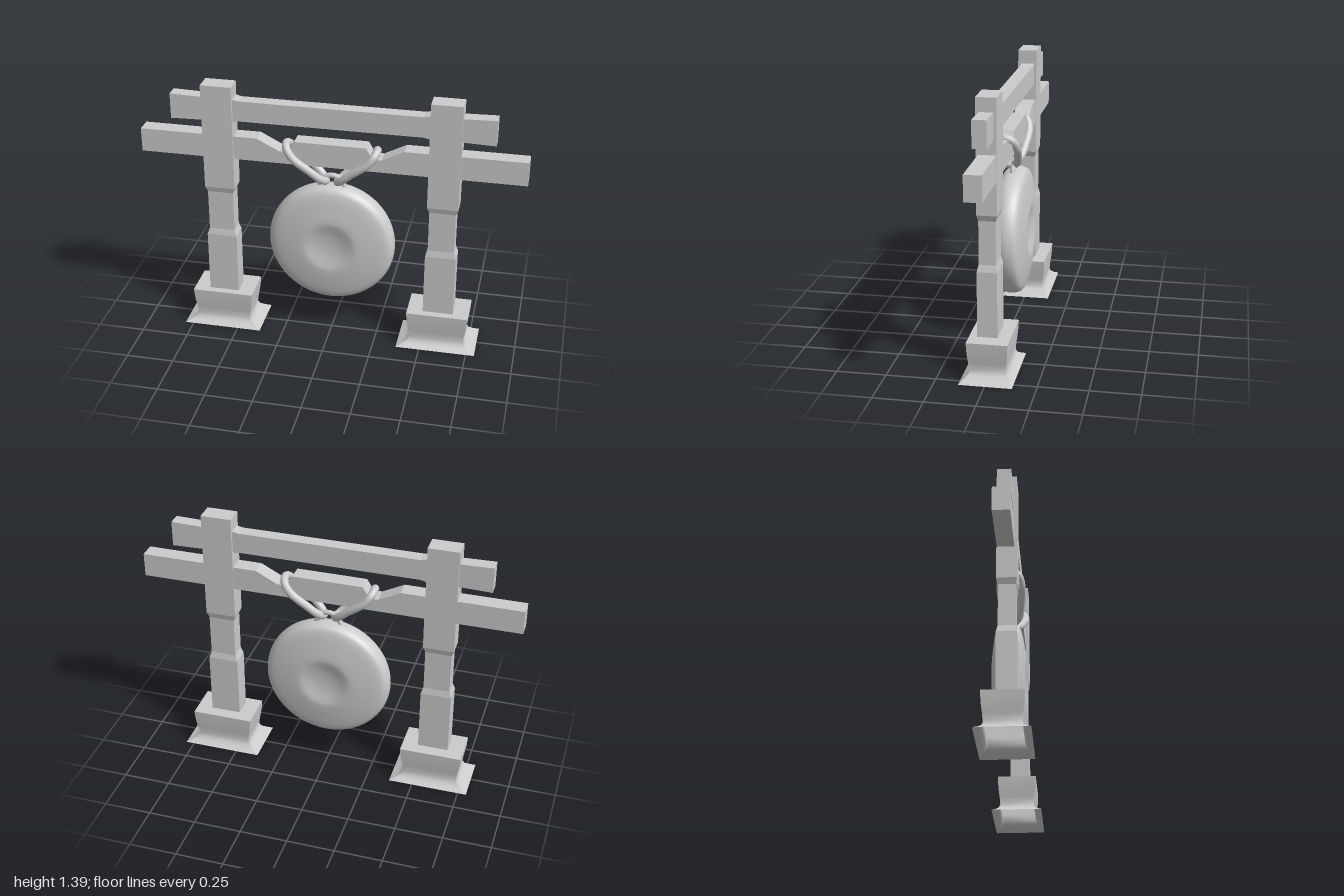
import * as THREE from 'three';
import { toCreasedNormals } from 'three/addons/utils/BufferGeometryUtils.js';

const material = new THREE.MeshStandardMaterial({ color: 0xcccccc });
const thinMaterial = new THREE.MeshStandardMaterial({ color: 0xcccccc, side: THREE.DoubleSide });

function addMesh(parent, name, geometry, mat = material) {
  const mesh = new THREE.Mesh(geometry, mat);
  mesh.name = name;
  parent.add(mesh);
  return mesh;
}

// Rectangular bar shaped by rows of [y, half width, half depth], bottom to top
function taperedBar(rows, crease = 0.1, openBottom = false) {
  const n = rows.length - 1;
  const g = new THREE.BoxGeometry(2, 1, 2, 1, n, 1);
  const p = g.attributes.position;
  for (let i = 0; i < p.count; i++) {
    const [y, hx, hz] = rows[Math.round((p.getY(i) + 0.5) * n)];
    p.setXYZ(i, p.getX(i) * hx, y, p.getZ(i) * hz);
  }
  if (openBottom) {
    const index = Array.from(g.index.array);
    index.splice(g.groups[3].start, g.groups[3].count);
    g.setIndex(index);
  }
  g.clearGroups();
  return toCreasedNormals(g, crease);
}

export function createModel() {
  const model = new THREE.Group();
  model.name = 'hangingGong';

  // Posts with a slimmer waist, standing on hollow flared feet
  const postShape = taperedBar([
    [0.2, 0.08, 0.05], [0.535, 0.08, 0.05], [0.57, 0.068, 0.042],
    [0.79, 0.068, 0.042], [0.82, 0.08, 0.05], [1.39, 0.08, 0.05],
  ]);
  const footShape = taperedBar([
    [0, 0.21, 0.132], [0.015, 0.178, 0.112], [0.03, 0.155, 0.096], [0.05, 0.144, 0.089],
    [0.09, 0.149, 0.093], [0.14, 0.158, 0.099], [0.2, 0.163, 0.102],
  ], 0.75, true);
  for (const [side, s] of [['left', 1], ['right', -1]]) {
    addMesh(model, side + 'Post', postShape).position.set(s * 0.585, 0, 0.01);
    addMesh(model, side + 'Foot', footShape, thinMaterial).position.set(s * 0.585, 0, -0.002);
  }

  // Upper beam, slightly slimmer between the posts
  const half = [[0.833, 0.0675], [0.665, 0.063], [0.5, 0.061], [0.47, 0.055]];
  const beamRows = [
    ...half.map(([x, h]) => [-x, h, 0.035]),
    ...half.slice().reverse().map(([x, h]) => [x, h, 0.035]),
  ];
  addMesh(model, 'upperBeam', taperedBar(beamRows).rotateZ(Math.PI / 2)).position.set(0, 1.257, 0.008);

  // Lower beam with two notches that hold the ropes
  const notch = [[1, 0.99], [1, 1.117], [0.38, 1.117], [0.265, 1.058], [0.22, 1.058], [0.185, 1.117]];
  const outline = [...notch, ...notch.slice().reverse().map(([x, y]) => [-x, y])];
  const lowerBeam = new THREE.ExtrudeGeometry(
    new THREE.Shape(outline.map(([x, y]) => new THREE.Vector2(x, y))),
    { depth: 0.086, bevelEnabled: false },
  );
  addMesh(model, 'lowerBeam', lowerBeam).position.z = -0.038;

  // Gong: a rounded disc with a shallow dish on both faces
  const profile = new THREE.SplineCurve([
    [0, -0.078], [0.06, -0.082], [0.115, -0.095], [0.15, -0.099], [0.22, -0.09], [0.29, -0.077],
    [0.322, -0.06], [0.335, -0.025], [0.333, 0.01], [0.315, 0.04], [0.28, 0.055], [0.22, 0.066],
    [0.15, 0.074], [0.115, 0.07], [0.06, 0.058], [0, 0.054],
  ].map(([r, z]) => new THREE.Vector2(r, z))).getPoints(45);
  profile[0].x = profile[45].x = 0;
  const gong = new THREE.LatheGeometry(profile, 64).rotateX(Math.PI / 2);
  addMesh(model, 'gong', gong).position.y = 0.535;

  // Small arched handle on the gong's rim
  const handle = new THREE.CatmullRomCurve3([
    [-0.068, 0.855], [-0.055, 0.885], [-0.035, 0.91], [0, 0.92],
    [0.035, 0.91], [0.055, 0.885], [0.068, 0.855],
  ].map(([x, y]) => new THREE.Vector3(x, y, -0.01)));
  addMesh(model, 'handle', new THREE.TubeGeometry(handle, 28, 0.014, 10));

  // Rope loops from the handle over the lower beam
  const strand = [[0.19, 1.025, 0.055], [0.11, 0.962, 0.048], [0.05, 0.91, 0.03]];
  for (const [side, s] of [['left', 1], ['right', -1]]) {
    const points = [
      [0.236, 1.088, 0], [0.226, 1.07, 0.04], ...strand, [0.03, 0.893, 0],
      ...strand.slice().reverse().map(([x, y, z]) => [x, y, -z]), [0.226, 1.07, -0.04],
    ].map(([x, y, z]) => new THREE.Vector3(s * x, y, z + 0.003));
    const loop = new THREE.CatmullRomCurve3(points, true);
    addMesh(model, side + 'Rope', new THREE.TubeGeometry(loop, 64, 0.021, 12, true));
  }

  return model;
}
